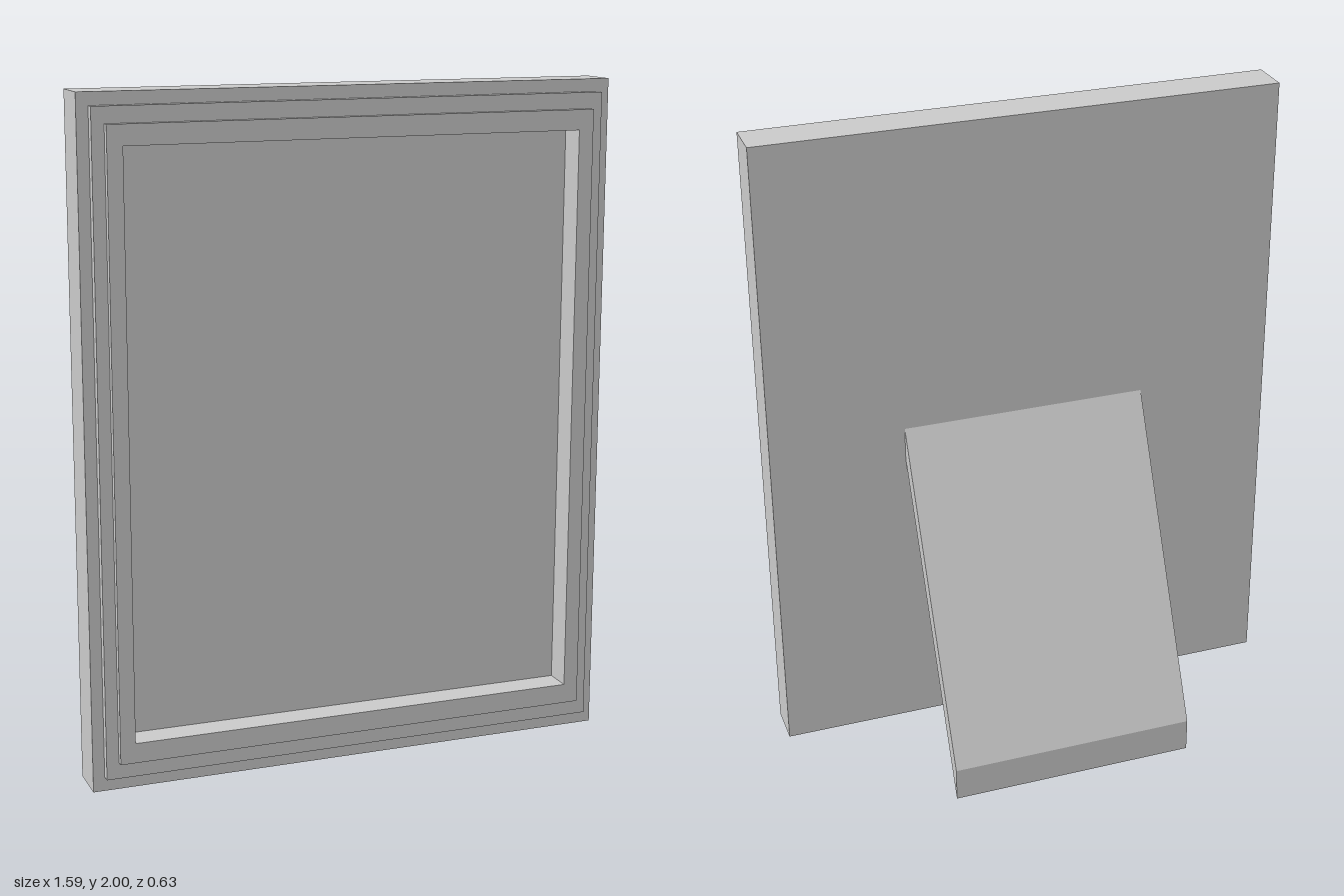
import * as THREE from 'three';

const Z_BACK = 0.14, Z_PANEL = 0.23;
const OPENING = { x: 0.68, y0: 0.165, y1: 1.857 };

// Trace a rectangle, symmetric in x, onto a Shape or Path
function rect(path, { x, y0, y1 }) {
  path.moveTo(-x, y0);
  path.lineTo(x, y0);
  path.lineTo(x, y1);
  path.lineTo(-x, y1);
  path.closePath();
  return path;
}

export function createModel() {
  const group = new THREE.Group();
  const material = new THREE.MeshStandardMaterial({ color: 0xcccccc, flatShading: true });

  const add = (name, geometry) => {
    const mesh = new THREE.Mesh(geometry, material);
    mesh.name = name;
    group.add(mesh);
    return mesh;
  };

  // Stepped frame: three rings stacked forwards, sharing one opening
  const rings = [
    { name: 'outerFrame', x: 0.795, y0: 0.015, y1: 2, z0: Z_BACK, z1: 0.268 },
    { name: 'middleMoulding', x: 0.761, y0: 0.057, y1: 1.963, z0: 0.268, z1: 0.294 },
    { name: 'innerMoulding', x: 0.725, y0: 0.106, y1: 1.916, z0: 0.294, z1: 0.315 },
  ];
  for (const ring of rings) {
    const shape = rect(new THREE.Shape(), ring);
    shape.holes.push(rect(new THREE.Path(), OPENING));
    const geometry = new THREE.ExtrudeGeometry(shape, { depth: ring.z1 - ring.z0, bevelEnabled: false });
    add(ring.name, geometry).position.z = ring.z0;
  }

  // Recessed panel that closes the opening, flush with the back
  const panel = new THREE.BoxGeometry(OPENING.x * 2, OPENING.y1 - OPENING.y0, Z_PANEL - Z_BACK);
  add('picturePanel', panel).position.set(0, (OPENING.y0 + OPENING.y1) / 2, (Z_PANEL + Z_BACK) / 2);

  // Slanted easel stand: side profile (-z, y) extruded across x
  const profile = new THREE.Shape([
    new THREE.Vector2(-Z_BACK, 0.95),
    new THREE.Vector2(0.315, 0),
    new THREE.Vector2(0.315, 0.105),
    new THREE.Vector2(-Z_BACK, 1.055),
  ]);
  const stand = new THREE.ExtrudeGeometry(profile, { depth: 0.76, bevelEnabled: false });
  stand.translate(0, 0, -0.38).rotateY(Math.PI / 2);
  add('easelStand', stand);

  return group;
}
